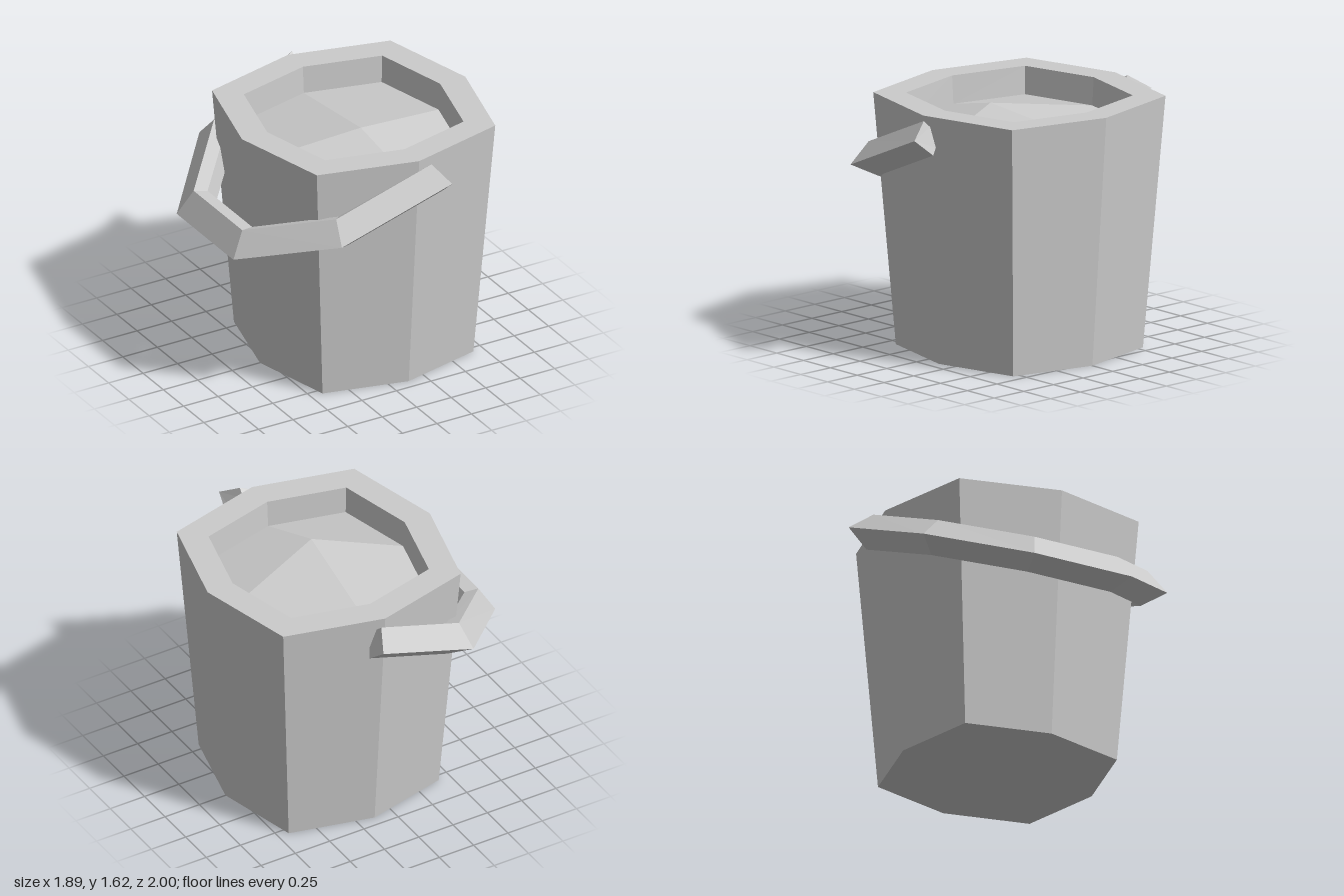
import * as THREE from 'three';

const flat = new THREE.MeshStandardMaterial({ color: 0xcccccc, flatShading: true });
const facet = new THREE.MeshStandardMaterial({ color: 0xcccccc });

function toGeometry(points) {
  const g = new THREE.BufferGeometry();
  g.setAttribute('position', new THREE.Float32BufferAttribute(points.flat(), 3));
  g.computeVertexNormals();
  return g;
}

function named(name, geometry, material) {
  const m = new THREE.Mesh(geometry, material);
  m.name = name;
  return m;
}

// Skin a list of equal-sized rings, with optional flat caps
function loft(rings, capStart, capEnd) {
  const tris = [];
  const n = rings[0].length;
  for (let i = 0; i < rings.length - 1; i++) {
    for (let j = 0; j < n; j++) {
      const k = (j + 1) % n;
      const a = rings[i][j], b = rings[i][k], c = rings[i + 1][k], d = rings[i + 1][j];
      tris.push(a, b, c, a, c, d);
    }
  }
  const first = rings[0], last = rings[rings.length - 1];
  for (let j = 1; j < n - 1; j++) {
    if (capStart) tris.push(first[0], first[j + 1], first[j]);
    if (capEnd) tris.push(last[0], last[j], last[j + 1]);
  }
  return toGeometry(tris);
}

// Eight-sided ring: corners on the axes at r, diagonal corners at (d, d)
function octagon(r, d, y) {
  return [[r, 0], [d, -d], [0, -r], [-d, -d], [-r, 0], [-d, d], [0, r], [d, d]]
    .map(([x, z]) => [x, y, z]);
}

export function createModel() {
  const model = new THREE.Group();
  model.name = 'bucket';

  // Tapered body with a thick rim and recessed inner wall
  const inner = octagon(0.615, 0.492, 1.445);
  const body = named('body', loft([
    octagon(0.68, 0.547, 0),
    octagon(0.81, 0.647, 1.625),
    octagon(0.627, 0.502, 1.625),
    inner,
  ], true, false), flat);
  body.position.x = 0.13;
  model.add(body);

  // Heaped contents: four facets meeting at an off-centre peak
  const peak = [-0.06, 1.59, 0.19];
  const heap = [];
  for (let i = 0; i < 8; i++) heap.push(peak, inner[i], inner[(i + 1) % 8]);
  const heapGeometry = toGeometry(heap);
  const normals = heapGeometry.attributes.normal;
  for (let q = 0; q < 4; q++) {
    const n = new THREE.Vector3().fromBufferAttribute(normals, q * 6)
      .add(new THREE.Vector3().fromBufferAttribute(normals, q * 6 + 3)).normalize();
    for (let v = 0; v < 6; v++) normals.setXYZ(q * 6 + v, n.x, n.y, n.z);
  }
  const contents = named('contents', heapGeometry, facet);
  contents.position.x = 0.13;
  model.add(contents);

  // Handle: squashed five-sided section swept around one half, then mirrored.
  // Each station lists [x, z] for the outer, middle and inner corners.
  const half = [
    [[0.83, 1.0], [0.804, 0.86], [0.79, 0.81]],
    [[0.038, 0.88], [0.12, 0.755], [0.16, 0.69]],
    [[-0.479, 0.35], [-0.33, 0.30], [-0.255, 0.275]],
  ];
  const section = ([o, m, i], side) => [[o, 0], [m, 0.112], [i, 0.067], [i, -0.067], [m, -0.112]]
    .map(([[x, z], y]) => [x, 1.295 + y, z * side]);
  const stations = [
    ...half.map((s) => section(s, 1)),
    ...half.slice().reverse().map((s) => section(s, -1)),
  ];
  const handle = named('handle', loft(stations, true, true), flat);
  handle.rotation.z = 0.402;
  model.add(handle);

  return model;
}
